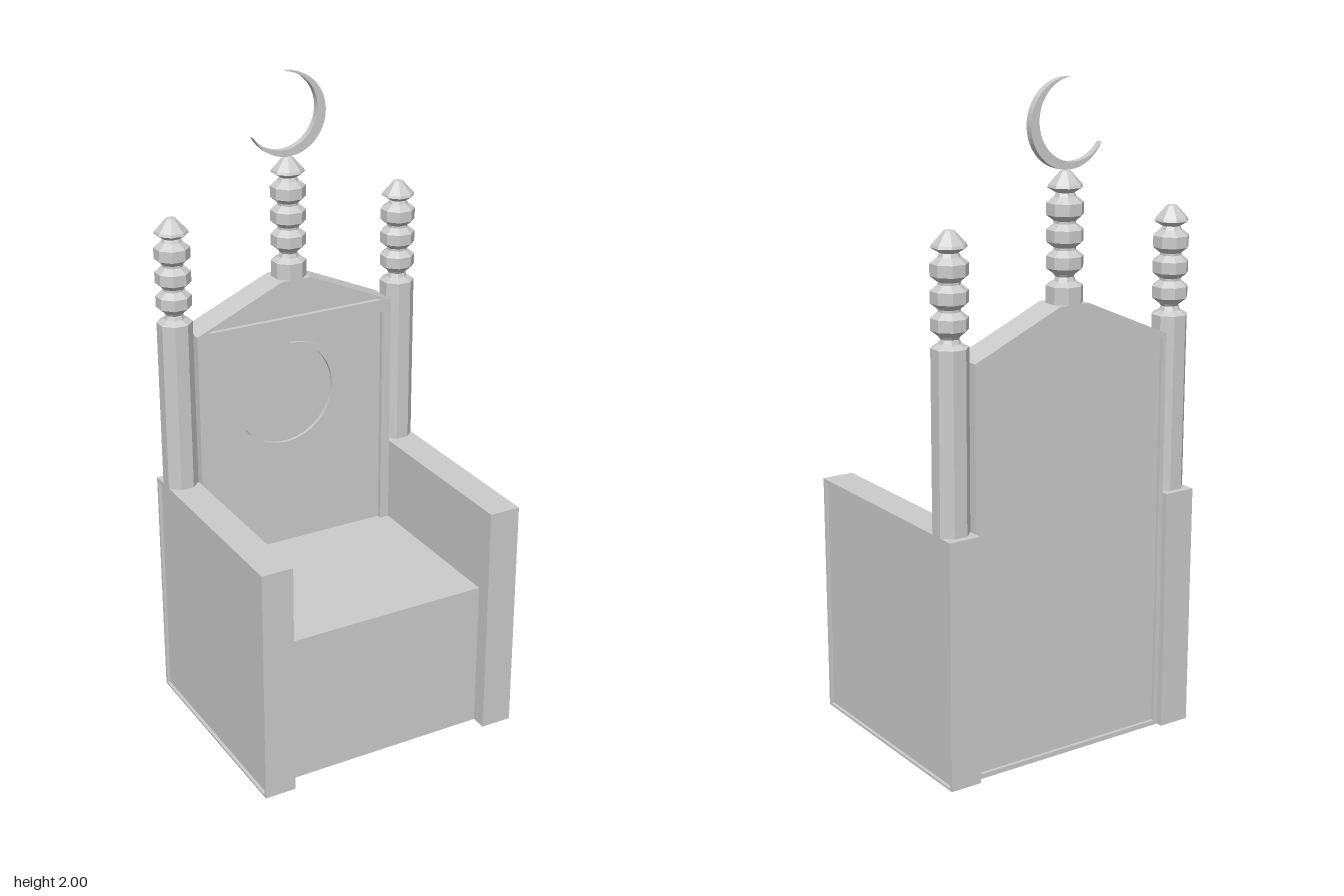
import * as THREE from 'three';

const material = new THREE.MeshStandardMaterial({ color: 0xcccccc, flatShading: true });

function add(parent, name, geometry, x = 0, y = 0, z = 0) {
  const mesh = new THREE.Mesh(geometry, material);
  mesh.name = name;
  mesh.position.set(x, y, z);
  parent.add(mesh);
  return mesh;
}

const polygon = (pts) => pts.map(([x, y]) => new THREE.Vector2(x, y));
const rect = (x0, y0, x1, y1) => polygon([[x0, y0], [x1, y0], [x1, y1], [x0, y1]]);

// Flat plate with optional cut-outs, extruded along +z
function plate(outline, depth, holes = []) {
  const shape = new THREE.Shape(outline);
  holes.forEach((h) => shape.holes.push(new THREE.Path(h)));
  return new THREE.ExtrudeGeometry(shape, { depth, bevelEnabled: false });
}

// Crescent between two arcs that share both tips; outer circle centred on the origin
function crescent(radius, depth) {
  const s = radius / 0.18;
  const arc = (cx, cy, r, a0, a1, n) => Array.from({ length: n + 1 }, (_, i) => {
    const a = a0 + (a1 - a0) * i / n;
    return new THREE.Vector2(s * (cx + r * Math.cos(a)), s * (cy + r * Math.sin(a)));
  });
  const tips = [[-0.16, -0.08], [-0.005, 0.18]];
  const angles = (cx, cy) => [
    Math.atan2(tips[0][1] - cy, tips[0][0] - cx),
    Math.atan2(tips[1][1] - cy, tips[1][0] - cx),
  ];
  const [o0, o1] = angles(0, 0);
  const [i0, i1] = angles(-0.025, 0.0155);
  const outer = arc(0, 0, 0.18, o0, o1, 32);
  const inner = arc(-0.025, 0.0155, 0.1656, i1, i0, 32).slice(1, -1);
  return plate([...outer, ...inner], depth);
}

// Octagonal post with three beads and a pointed cap; flats face the axes
function turnedPost(shaft) {
  const profile = [[0, -shaft], [0.05, -shaft], [0.05, 0], [0.03, 0.012], [0.025, 0.025]];
  for (const y of [0.067, 0.142, 0.217]) {
    profile.push([0.03, y - 0.034], [0.05, y - 0.017], [0.05, y + 0.017], [0.03, y + 0.034]);
  }
  profile.push([0.025, 0.262], [0.048, 0.277], [0.045, 0.285], [0.014, 0.322], [0, 0.325]);
  const k = 1 / Math.cos(Math.PI / 8);
  const pts = profile.map(([r, y]) => new THREE.Vector2(r * k, y));
  return new THREE.LatheGeometry(pts, 8, Math.PI / 8);
}

export function createModel() {
  const throne = new THREE.Group();
  throne.name = 'throne';

  add(throne, 'seat', new THREE.BoxGeometry(0.67, 0.48, 0.56), 0, 0.24, 0.03);

  // Backrest: gabled core, framed on both faces
  const back = new THREE.Group();
  back.name = 'backrest';
  throne.add(back);
  const outline = polygon([[-0.335, 0], [0.335, 0], [0.335, 1.245], [0.05, 1.37], [-0.05, 1.37], [-0.335, 1.245]]);
  const gable = polygon([[-0.3, 1.25], [0.3, 1.25], [0.048, 1.36], [-0.048, 1.36]]);
  add(back, 'backCore', plate(outline, 0.075), 0, 0, -0.33);
  add(back, 'backFrontFrame', plate(outline, 0.015, [rect(-0.305, 0.48, 0.305, 1.21), gable]), 0, 0, -0.255);
  add(back, 'backRearFrame', plate(outline, 0.01, [rect(-0.32, 0.015, 0.32, 1.235)]), 0, 0, -0.34);
  add(back, 'crescentRelief', crescent(0.18, 0.01), -0.015, 0.985, -0.255);

  // Arms with a shallow recessed outer panel, and the posts behind them
  for (const side of [1, -1]) {
    const label = side > 0 ? 'left' : 'right';
    add(throne, label + 'Arm', new THREE.BoxGeometry(0.09, 0.755, 0.72), side * 0.38, 0.3775, 0);
    const frame = plate(rect(-0.36, 0, 0.36, 0.755), 0.01, [rect(-0.35, 0.007, 0.35, 0.743)]);
    add(throne, label + 'ArmFrame', frame, side * 0.425, 0, 0).rotation.y = side * Math.PI / 2;
    add(throne, label + 'Post', turnedPost(0.535), side * 0.385, 1.29, -0.29);
  }

  // Centre finial crowned by a crescent
  add(throne, 'centreFinial', turnedPost(0.06), 0, 1.42, -0.29);
  add(throne, 'crownCrescent', crescent(0.1275, 0.022), -0.003, 1.8725, -0.301);

  return throne;
}
